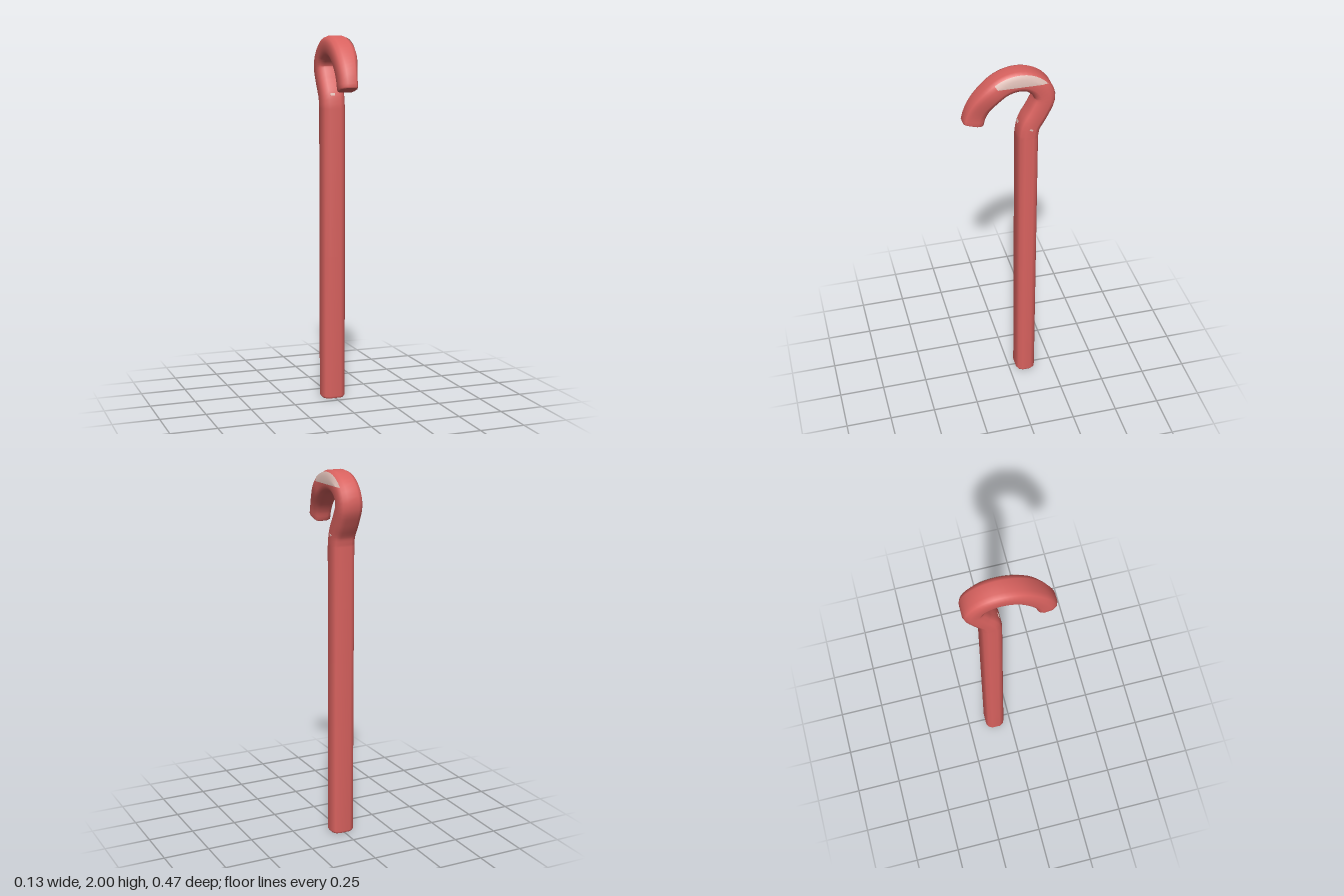
import * as THREE from 'three';

// Rows of closed rings to a smooth tube, or of open rows to a smooth sheet
function loft(rows, closed) {
  const pos = [], idx = [], m = rows[0].length;
  rows.forEach(r => r.forEach(p => pos.push(p.x, p.y, p.z)));
  for (let i = 0; i < rows.length - 1; i++) {
    for (let j = 0; j < (closed ? m : m - 1); j++) {
      const a = i * m + j, b = i * m + (j + 1) % m;
      idx.push(a, b, b + m, a, b + m, a + m);
    }
  }
  return surface(pos, idx);
}

// Flat fan closing a ring
function cap(ring, flip) {
  const pos = [], idx = [];
  ring.forEach(p => pos.push(p.x, p.y, p.z));
  for (let j = 1; j < ring.length - 1; j++) idx.push(0, flip ? j + 1 : j, flip ? j : j + 1);
  return surface(pos, idx);
}

function surface(pos, idx) {
  const g = new THREE.BufferGeometry();
  g.setAttribute('position', new THREE.Float32BufferAttribute(pos, 3));
  g.setIndex(idx);
  g.computeVertexNormals();
  return g;
}

// Rounded section: one corner as [across x, along the outward normal], mirrored
const W = 0.066, D = 0.055;
const CORNER = [[W, 0.023], [0.054, 0.045], [0.032, D]];
const BACK = [...CORNER].reverse();
const SECTION = [
  ...CORNER, ...BACK.map(([x, n]) => [-x, n]),
  ...CORNER.map(([x, n]) => [-x, -n]), ...BACK.map(([x, n]) => [x, -n]),
];

export function createModel() {
  const group = new THREE.Group();
  const red = new THREE.MeshStandardMaterial({ color: 0xd9625f });
  red.name = 'red';
  const pale = new THREE.MeshStandardMaterial({ color: 0xe0c0b8, side: THREE.DoubleSide });
  pale.name = 'pale pink';
  const add = (name, geo, mat) => {
    const mesh = new THREE.Mesh(geo, mat);
    mesh.name = name;
    group.add(mesh);
    return mesh;
  };

  // Centre line of the hook, [z, y], from the shaft to the tip
  const hook = new THREE.CatmullRomCurve3([
    [-0.093, 1.61], [-0.104, 1.675], [-0.148, 1.755], [-0.18, 1.836], [-0.156, 1.895],
    [-0.098, 1.936], [-0.03, 1.944], [0.05, 1.917], [0.135, 1.837], [0.172, 1.775], [0.187, 1.722],
  ].map(([z, y]) => new THREE.Vector3(0, y, z)));

  // Point beside the centre line: x across, n along the outward normal
  const beside = (c, t, x, n) => new THREE.Vector3(x, c.y + t.z * n, c.z - t.y * n);

  // Section ring; the left side narrows toward the tip
  const ring = (c, t, scale = 1, narrow = 0) => SECTION.map(([x, n]) =>
    beside(c, t, (x > 0 ? x - narrow * (x / W) : x) * scale, n * scale));

  // Straight shaft with a small bevel at the foot
  const up = new THREE.Vector3(0, 1, 0);
  const rows = [[0, 0.9], [0.012, 1], [0.8, 1]].map(
    ([y, s]) => ring(new THREE.Vector3(0, y, -0.093), up, s));

  // Curved hook
  const N = 40;
  for (let i = 0; i <= N; i++) {
    const u = i / N;
    const narrow = 0.034 * THREE.MathUtils.smoothstep(u, 0.72, 0.98);
    rows.push(ring(hook.getPointAt(u), i ? hook.getTangentAt(u) : up, 1, narrow));
  }
  const end = hook.getPointAt(1), dir = hook.getTangentAt(1);
  rows.push(ring(end.addScaledVector(dir, 0.006), dir, 0.92, 0.034));
  add('caneBody', loft(rows, true), red);
  add('foot', cap(rows[0], true), red);
  add('hookTip', cap(rows[rows.length - 1], false), red);

  // Pale patch on the left side of the crown, cut level along its lower edge
  const patch = [];
  const [[, nSide], [xTop, nTop]] = CORNER;
  for (let i = 12; i <= 28; i++) {
    const c = hook.getPointAt(i / N), t = hook.getTangentAt(i / N);
    const low = t.z > 0.05 ? THREE.MathUtils.clamp((1.928 - c.y) / t.z, -nSide, nTop) : nTop;
    patch.push([low, Math.max(low, nSide), nTop].map(n => beside(c, t,
      0.002 + THREE.MathUtils.mapLinear(Math.max(n, nSide), nSide, nTop, W, xTop), n + 0.001)));
  }
  add('crownPatch', loft(patch, false), pale);

  // Small pale flecks at the bend above the shaft
  const c = hook.getPointAt(0.08), t = hook.getTangentAt(0.08);
  const tilt = Math.atan2(t.z, t.y);
  [['frontFleck', [0.024, 0.014, 0.004], beside(c, t, -0.012, -D)],
    ['sideFleck', [0.004, 0.008, 0.018], beside(c, t, W, 0)]].forEach(([name, size, at]) => {
    const fleck = add(name, new THREE.BoxGeometry(...size), pale);
    fleck.position.copy(at);
    fleck.rotation.x = tilt;
  });

  return group;
}
